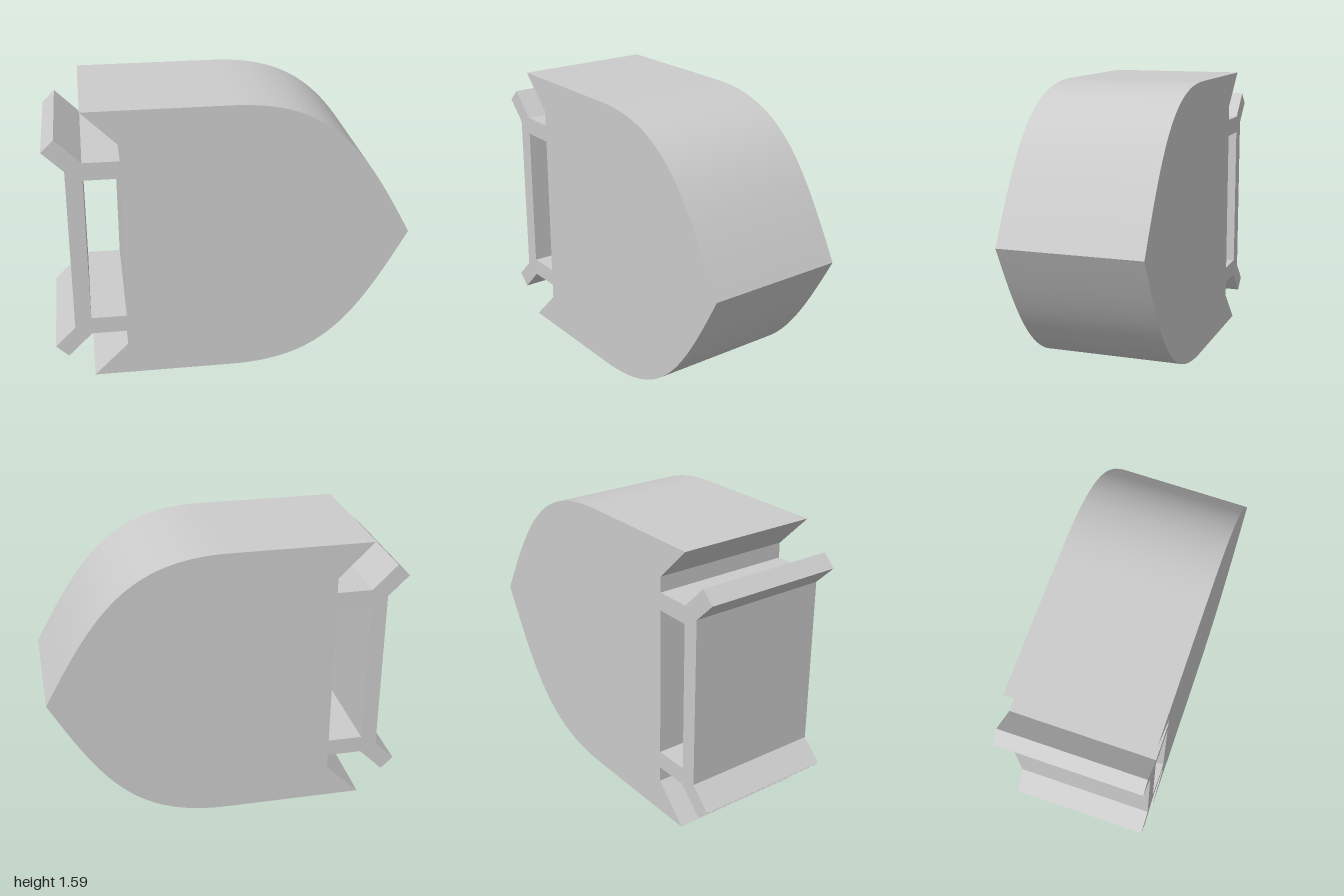
import * as THREE from 'three';
import { toCreasedNormals } from 'three/addons/utils/BufferGeometryUtils.js';

const HEIGHT = 1.592;
const MID = HEIGHT / 2;
const DEPTH = 0.8;

export function createModel() {
  const group = new THREE.Group();
  group.name = 'pointedBlock';

  // Upper half of the rear edge: barb, notch, strut and angled fin
  const rear = [
    [-0.79, HEIGHT], [-0.595, 1.4], [-0.595, 1.314], [-0.793, 1.314],
    [-0.93, 1.45], [-1, 1.383], [-0.885, 1.27],
  ];
  const mirrored = rear.map(([x, y]) => [x, HEIGHT - y]).reverse();

  // Outline, anticlockwise from the tip: curved top, rear edge, curved bottom
  const outline = new THREE.Shape();
  outline.moveTo(1, MID);
  outline.bezierCurveTo(0.718, 1.319, 0.538, HEIGHT, 0, HEIGHT);
  for (const [x, y] of [...rear, ...mirrored]) outline.lineTo(x, y);
  outline.lineTo(0, 0);
  outline.bezierCurveTo(0.538, 0, 0.718, HEIGHT - 1.319, 1, MID);

  // Rectangular slot between body and rear bar
  const slot = new THREE.Path();
  slot.moveTo(-0.793, 0.377);
  slot.lineTo(-0.793, 1.215);
  slot.lineTo(-0.595, 1.215);
  slot.lineTo(-0.595, 0.377);
  slot.closePath();
  outline.holes.push(slot);

  const geometry = new THREE.ExtrudeGeometry(outline, {
    depth: DEPTH, bevelEnabled: false, curveSegments: 28,
  });
  geometry.translate(0, 0, -DEPTH / 2);

  const body = new THREE.Mesh(
    toCreasedNormals(geometry, 0.5),
    new THREE.MeshStandardMaterial({ color: 0xcccccc }),
  );
  body.name = 'bodyWithClip';
  group.add(body);
  return group;
}
